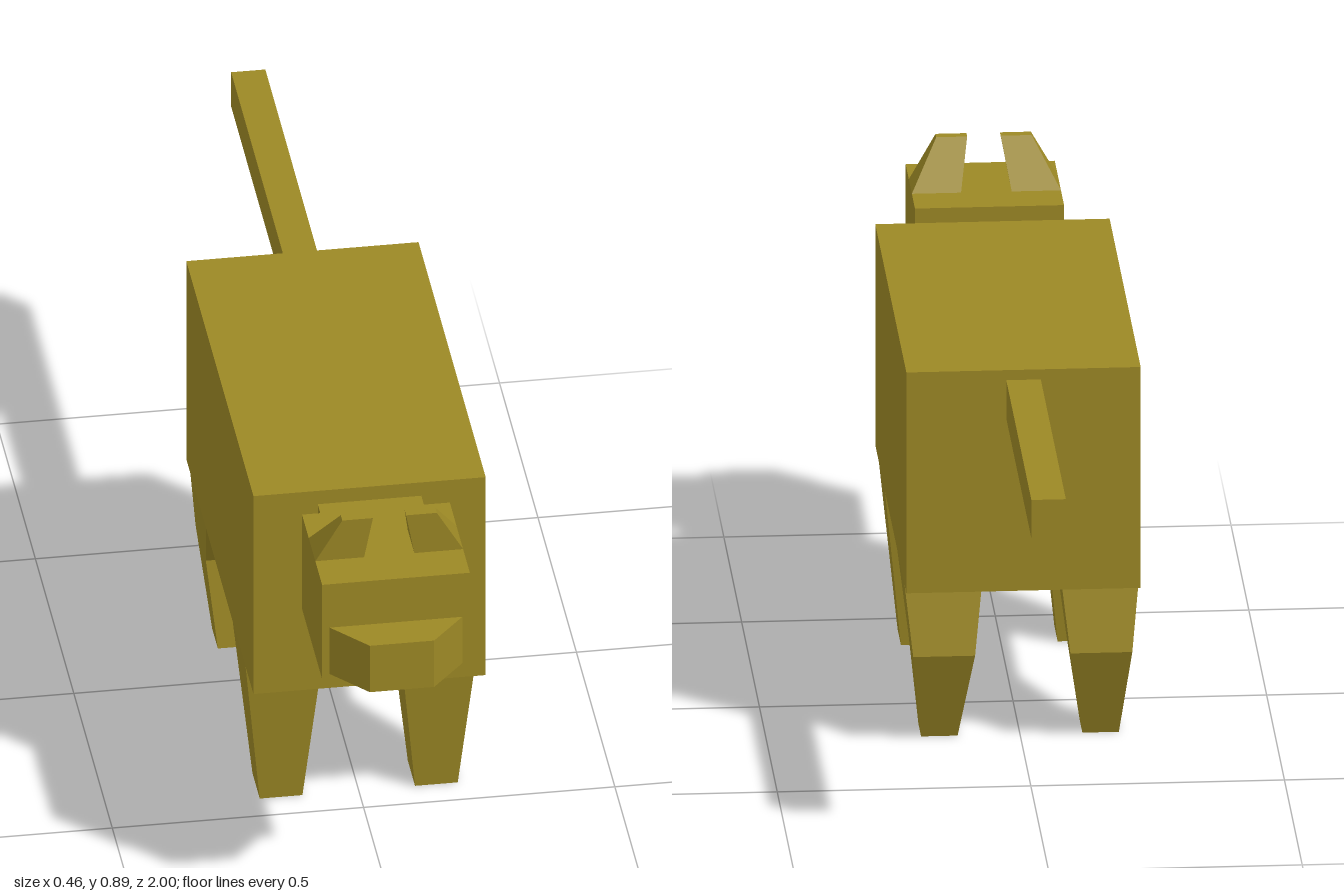
import * as THREE from 'three';

const material = new THREE.MeshStandardMaterial({ color: 0x9c8825, flatShading: true });

// Rectangular cross-sections, corners counter-clockwise seen from the + end of the axis
const ringY = (y, x0, x1, z0, z1) => [[x0, y, z1], [x1, y, z1], [x1, y, z0], [x0, y, z0]];
const ringZ = (z, x0, x1, y0, y1) => [[x0, y0, z], [x1, y0, z], [x1, y1, z], [x0, y1, z]];

// Closed solid through a row of four-cornered sections
function loft(rings) {
  const pos = [];
  const quad = (a, b, c, d) => pos.push(...a, ...b, ...c, ...a, ...c, ...d);
  for (let i = 0; i < rings.length - 1; i++) {
    for (let j = 0; j < 4; j++) {
      const k = (j + 1) % 4;
      quad(rings[i][j], rings[i][k], rings[i + 1][k], rings[i + 1][j]);
    }
  }
  const [a, b, c, d] = rings[0];
  quad(d, c, b, a);
  quad(...rings[rings.length - 1]);
  const geometry = new THREE.BufferGeometry();
  geometry.setAttribute('position', new THREE.Float32BufferAttribute(pos, 3));
  geometry.computeVertexNormals();
  return geometry;
}

export function createModel() {
  const group = new THREE.Group();

  function add(name, geometry) {
    const mesh = new THREE.Mesh(geometry, material);
    mesh.name = name;
    group.add(mesh);
  }

  // Box centred on x = 0
  function block(name, halfWidth, y0, y1, z0, z1) {
    const geometry = new THREE.BoxGeometry(halfWidth * 2, y1 - y0, z1 - z0);
    add(name, geometry.translate(0, (y0 + y1) / 2, (z0 + z1) / 2));
  }

  // Part on both sides, from sections [y, inner x, outer x, z0, z1] going up
  function pair(name, sections) {
    add('left' + name, loft(sections.map((s) => ringY(...s))));
    add('right' + name, loft(sections.map(([y, x0, x1, z0, z1]) => ringY(y, -x1, -x0, z0, z1))));
  }

  // Trunk, neck, head and tail
  block('body', 0.231, 0.335, 0.796, -0.295, 0.578);
  block('neck', 0.103, 0.61, 0.765, 0.578, 0.661);
  block('head', 0.147, 0.577, 0.797, 0.661, 0.922);
  block('tail', 0.034, 0.695, 0.775, -1, -0.295);

  // Snout narrowing to the front
  add('snout', loft([
    ringZ(0.922, -0.132, 0.132, 0.588, 0.696),
    ringZ(1, -0.064, 0.064, 0.588, 0.696),
  ]));

  // Ears
  pair('Ear', [
    [0.797, 0.05, 0.147, 0.748, 0.834],
    [0.889, 0.033, 0.094, 0.818, 0.838],
  ]);

  // Legs, the hind pair bent at the hock
  pair('FrontLeg', [
    [0, 0.112, 0.197, 0.343, 0.437],
    [0.335, 0.078, 0.231, 0.308, 0.475],
  ]);
  pair('HindLeg', [
    [0, 0.123, 0.195, -0.195, -0.12],
    [0.194, 0.094, 0.216, -0.274, -0.14],
    [0.335, 0.078, 0.231, -0.243, -0.04],
  ]);

  return group;
}
